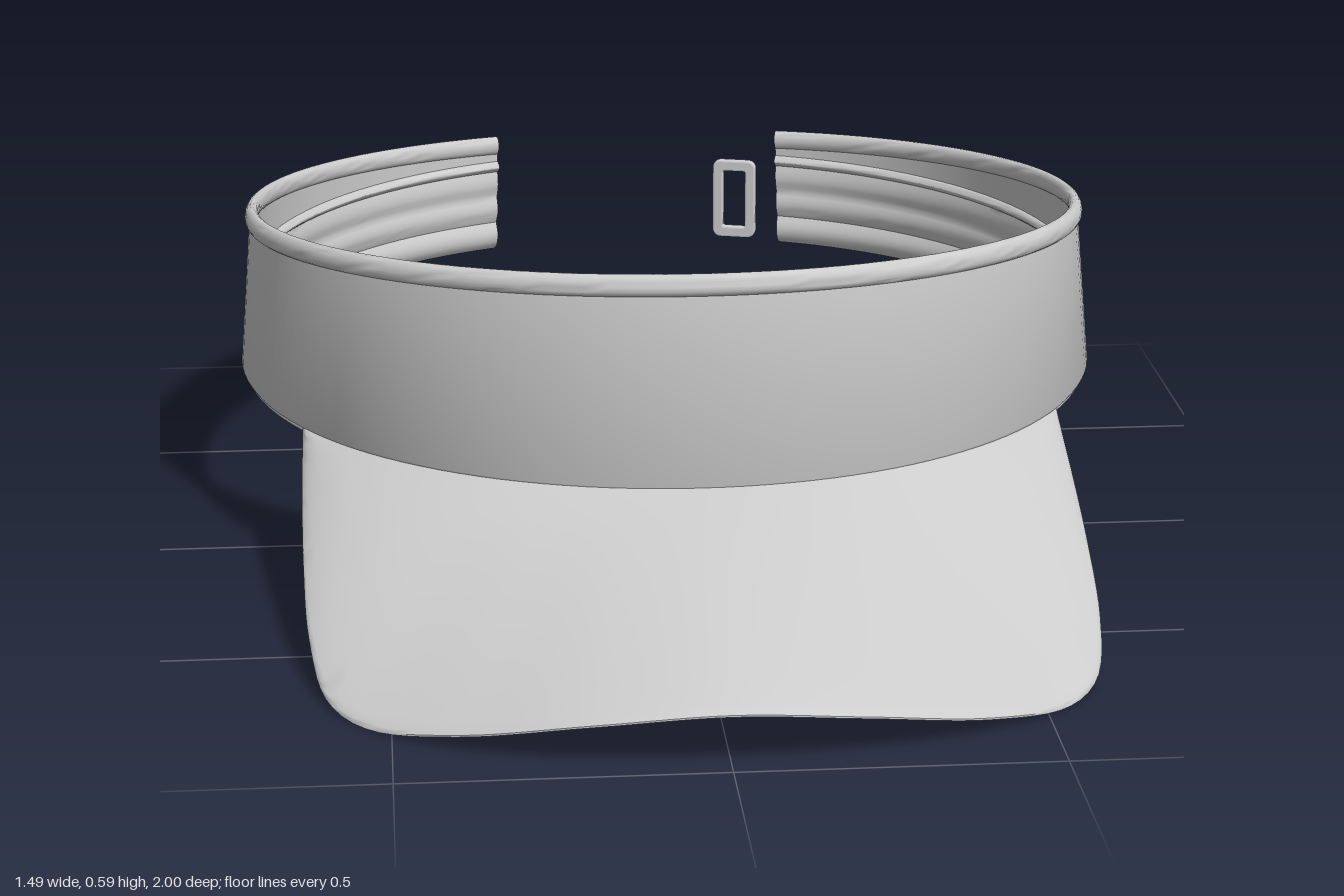
import * as THREE from 'three';
import { toCreasedNormals } from 'three/addons/utils/BufferGeometryUtils.js';

const BOTTOM = 0.247;
const END = THREE.MathUtils.degToRad(158); // half sweep of the open band
const lerp = THREE.MathUtils.lerp;

// Joins cross-sections (closed loops of points) into one surface
function loft(sections, capOutline) {
  const n = sections[0].length, last = (sections.length - 1) * n;
  const index = [];
  for (let i = 0; i < sections.length - 1; i++) {
    for (let j = 0; j < n; j++) {
      const a = i * n + j, b = i * n + (j + 1) % n;
      index.push(a, a + n, b + n, a, b + n, b);
    }
  }
  if (capOutline) {
    for (const [a, b, c] of THREE.ShapeUtils.triangulateShape(capOutline, [])) {
      index.push(a, b, c, last + a, last + c, last + b);
    }
  }
  const geo = new THREE.BufferGeometry().setFromPoints(sections.flat());
  geo.setIndex(index);
  return toCreasedNormals(geo, 0.7);
}

// Point on the tapered, slanted band: offset outward, height fraction, extra height
function bandPoint(theta, [offset, fraction, dy]) {
  const zTop = -0.315 + 0.725 * Math.cos(theta);
  const top = 0.59 - 0.0935 * (0.41 - zTop);
  const y = lerp(BOTTOM, top, fraction) + dy;
  const t = (y - BOTTOM) / (top - BOTTOM);
  const r = lerp(0.745, 0.722, t) + offset;
  return new THREE.Vector3(r * Math.sin(theta), y, lerp(-0.29, -0.315, t) + r * Math.cos(theta));
}

// Sweeps a profile round the head opening
function bandSweep(profile) {
  const sections = [];
  const steps = 112;
  for (let i = 0; i <= steps; i++) {
    const theta = lerp(-END, END, i / steps);
    sections.push(profile.map((p) => bandPoint(theta, p)));
  }
  const outline = profile.map(([o, f, dy]) => new THREE.Vector2(o, f * 0.3 + dy));
  return loft(sections, outline);
}

// Curved peak ruled between the band's lower edge and its outline
function brimGeometry() {
  const half = [[0.635, 0.235, 0.09], [0.636, 0.175, 0.25], [0.634, 0.12, 0.4], [0.625, 0.058, 0.57],
    [0.597, 0.014, 0.71], [0.535, 0.004, 0.8], [0.4, 0.027, 0.892], [0.2, 0.07, 0.972]];
  const points = [
    ...half.map(([x, y, z]) => new THREE.Vector3(-x, y, z)),
    new THREE.Vector3(0, 0.09, 0.997),
    ...half.slice().reverse().map(([x, y, z]) => new THREE.Vector3(x, y, z)),
  ];
  const outline = new THREE.CatmullRomCurve3(points, false, 'centripetal');
  // Cross-section: distance from band to edge, half thickness
  const upper = [[1, 0.0015], [0.992, 0.004], [0.97, 0.005], [0.85, 0.005], [0.7, 0.005],
    [0.5, 0.005], [0.3, 0.005], [0.15, 0.005], [0, 0.005]];
  const section = [...upper.slice().reverse().map(([s, h]) => [s, -h]), ...upper];
  const sections = [];
  const steps = 96, reach = Math.asin(0.632 / 0.74);
  for (let i = 0; i <= steps; i++) {
    const u = i / steps;
    const outer = outline.getPointAt(u);
    const a = lerp(-reach, reach, u);
    const inner = new THREE.Vector3(0.74 * Math.sin(a), 0.236 + 0.01 * Math.cos(a), -0.29 + 0.74 * Math.cos(a));
    sections.push(section.map(([s, h]) => {
      const p = inner.clone().lerp(outer, s);
      p.y += h + 0.02 * s * (1 - s);
      return p;
    }));
  }
  return loft(sections);
}

// Rounded rectangle path for the buckle
function roundedRect(path, w, h, r) {
  const x = w / 2 - r, y = h / 2 - r;
  path.absarc(x, y, r, 0, Math.PI / 2);
  path.absarc(-x, y, r, Math.PI / 2, Math.PI);
  path.absarc(-x, -y, r, Math.PI, Math.PI * 1.5);
  path.absarc(x, -y, r, Math.PI * 1.5, Math.PI * 2);
  path.closePath();
  return path;
}

export function createModel() {
  const group = new THREE.Group();
  const grey = new THREE.MeshStandardMaterial({ color: 0xcccccc, side: THREE.DoubleSide });
  grey.name = 'light grey';
  const add = (name, geometry) => {
    const mesh = new THREE.Mesh(geometry, grey);
    mesh.name = name;
    group.add(mesh);
    return mesh;
  };

  // Outer wall of the headband
  add('headband', bandSweep([[-0.003, 0, 0], [0, 0, 0.005], [0, 1, -0.02], [-0.01, 1, -0.02], [-0.01, 0, 0]]));

  // Rolled binding along the upper edge
  const roll = [];
  for (let i = 0; i < 14; i++) {
    const a = (i / 14) * Math.PI * 2;
    roll.push([-0.004 + 0.012 * Math.cos(a), 1, -0.018 + 0.018 * Math.sin(a)]);
  }
  add('topBinding', bandSweep(roll));

  // Padded lining with stitched ridges on the inside
  const lining = [[-0.008, 0, -0.008], [-0.008, 0, 0.165]];
  const puffs = [[0.165, 0.145, 0.009], [0.145, 0.095, 0.005], [0.095, 0.045, 0.007], [0.045, -0.008, 0.01]];
  for (const [from, to, bulge] of puffs) {
    for (let i = 0; i < 6; i++) {
      const t = i / 6;
      lining.push([-0.012 - bulge * Math.sin(Math.PI * t), 0, lerp(from, to, t)]);
    }
  }
  add('sweatband', bandSweep(lining));

  // Peak
  add('brim', brimGeometry());

  // Loose strap buckle beside the open end
  const frame = roundedRect(new THREE.Shape(), 0.076, 0.146, 0.012);
  frame.holes.push(roundedRect(new THREE.Path(), 0.05, 0.118, 0.007));
  const buckleGeometry = new THREE.ExtrudeGeometry(frame, {
    depth: 0.008, bevelEnabled: true, bevelThickness: 0.004, bevelSize: 0.004, bevelSegments: 3, curveSegments: 5,
  });
  buckleGeometry.translate(0, 0, -0.004);
  const buckle = add('buckle', buckleGeometry);
  buckle.position.set(0.19, 0.326, -0.982);
  buckle.rotation.y = -0.27;

  return group;
}
